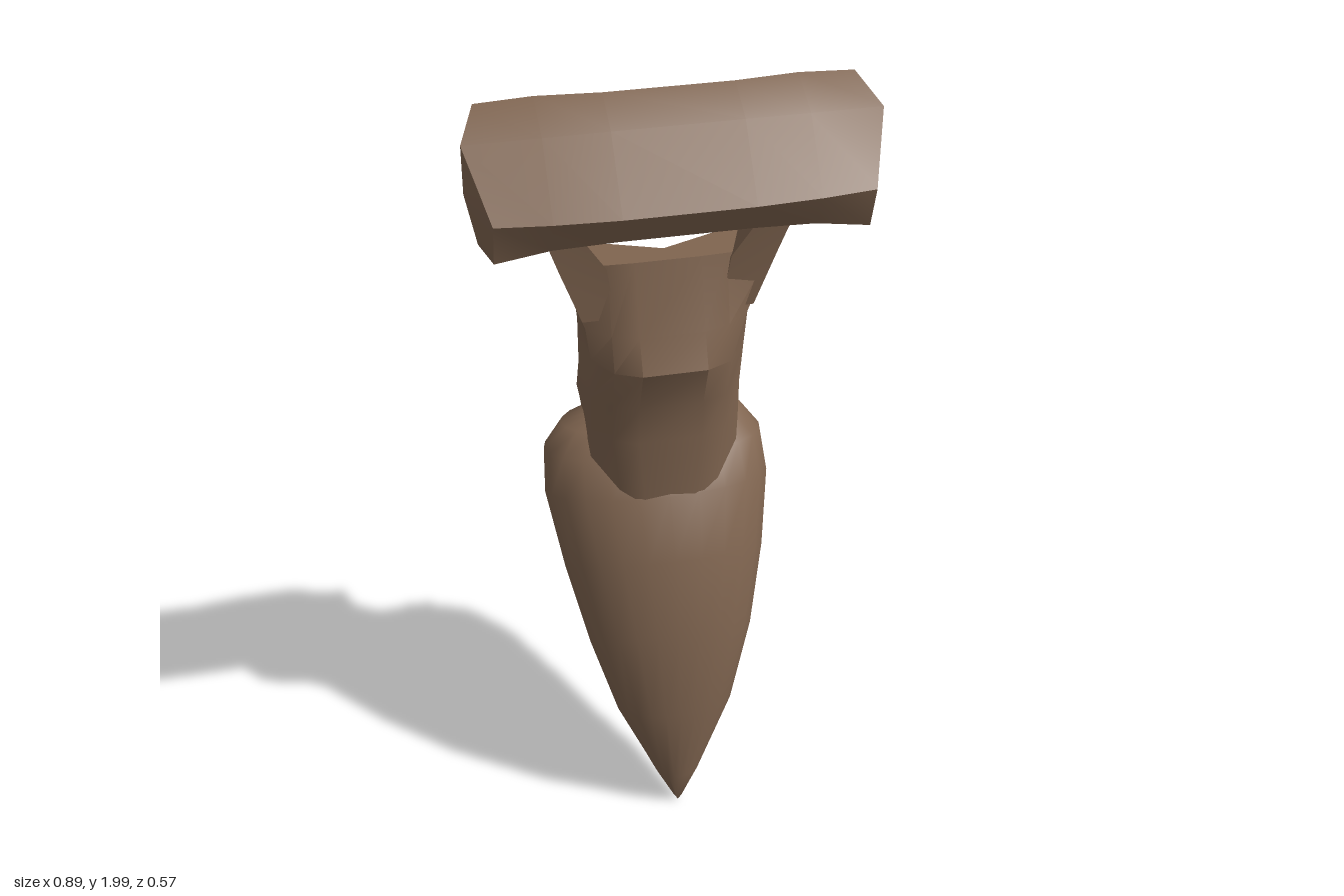
import * as THREE from 'three';
import { toCreasedNormals } from 'three/addons/utils/BufferGeometryUtils.js';

// Skin a list of closed rings of [x, y, z] points and close both ends with fans.
function loft(rings, crease, capA, capB) {
  const n = rings[0].length, pos = rings.flat(2), idx = [];
  rings.slice(1).forEach((_, r) => {
    for (let i = 0; i < n; i++) {
      const a = r * n + i, b = r * n + (i + 1) % n;
      idx.push(a, b, b + n, a, b + n, a + n);
    }
  });
  const fan = (start, centre, flip) => {
    const c = pos.length / 3;
    pos.push(...centre);
    for (let i = 0; i < n; i++) {
      const a = start + i, b = start + (i + 1) % n;
      idx.push(c, flip ? a : b, flip ? b : a);
    }
  };
  const mean = (ring) => [0, 1, 2].map((k) => ring.reduce((s, p) => s + p[k], 0) / n);
  fan(0, capA || mean(rings[0]), false);
  fan((rings.length - 1) * n, capB || mean(rings[rings.length - 1]), true);
  // Turn the faces outwards by the sign of the enclosed volume.
  const v = (i) => new THREE.Vector3(pos[i * 3], pos[i * 3 + 1], pos[i * 3 + 2]);
  let volume = 0;
  for (let i = 0; i < idx.length; i += 3) volume += v(idx[i]).dot(v(idx[i + 1]).cross(v(idx[i + 2])));
  if (volume < 0) idx.reverse();
  const g = new THREE.BufferGeometry();
  g.setAttribute('position', new THREE.Float32BufferAttribute(pos, 3));
  g.setIndex(idx);
  return toCreasedNormals(g, crease);
}

// Curved tapering blade: tilted ellipses from front edge, back edge and half width.
function bladeGeometry() {
  const rows = [ // front y, z, back y, z, half width
    [0.03, 0.213, 0.03, 0.19, 0.012], [0.12, 0.228, 0.13, 0.145, 0.058],
    [0.35, 0.237, 0.3, 0.07, 0.147], [0.6, 0.213, 0.45, 0, 0.206],
    [0.8, 0.165, 0.62, -0.12, 0.25], [0.95, 0.1, 0.81, -0.243, 0.28],
    [1.02, 0.04, 0.93, -0.285, 0.272], [1.055, -0.02, 1.02, -0.25, 0.225],
    [1.07, -0.07, 1.055, -0.21, 0.14],
  ];
  const rings = rows.map(([yf, zf, yb, zb, w]) => Array.from({ length: 24 }, (_, i) => {
    const a = (i / 24) * Math.PI * 2, t = (1 - Math.cos(a)) / 2;
    return [w * Math.sin(a), yf + (yb - yf) * t, zf + (zb - zf) * t];
  }));
  return loft(rings, 1.2, [0, 0.01, 0.205], [0, 1.075, -0.14]);
}

// Channel-shaped socket, open at the back, with feet flaring over the blade.
function socketGeometry() {
  const rows = [ // y, half width, front z, corner depth, back z
    [1.12, 0.178, 0.108, 0.08, -0.17], [1.22, 0.178, 0.112, 0.08, -0.125],
    [1.34, 0.178, 0.16, 0.1, -0.125], [1.42, 0.187, 0.122, 0.07, -0.112],
    [1.585, 0.242, 0.065, 0.01, -0.06],
  ];
  const halves = rows.map(([y, w, zf, d, zb]) => [
    [0.075, y, zf - d * 0.08], [0.135, y, zf - d * 0.35], [w, y, zf - d], [w, y, zb],
    [w - 0.045, y, zb], [w - 0.05, y, zf - d - 0.035], [0.075, y, zf - 0.05],
  ]);
  halves.unshift([
    [0.06, 0.93, 0.095], [0.12, 0.975, 0.08], [0.178, 1.04, 0.02], [0.16, 1.03, -0.25],
    [0.07, 1.035, -0.25], [0.13, 1.02, -0.03], [0.07, 0.96, 0.04],
  ]);
  const rings = halves.map((h) => [...h, ...h.slice().reverse().map(([x, y, z]) => [-x, y, z])]);
  return loft(rings, 0.75);
}

// Strut from the socket wall up to the crossbar.
function armGeometry(s) {
  const rows = [ // y, inner front x, inner back x, outer x, back z, front z
    [1.45, 0.12, 0.15, 0.196, -0.098, 0.07],
    [1.585, 0.14, 0.19, 0.244, -0.058, 0.078],
    [1.78, 0.262, 0.262, 0.308, 0, 0.105],
  ];
  return loft(rows.map(([y, xf, xb, xo, zb, zf]) => [
    [s * xf, y, zf], [s * xo, y, zf], [s * xo, y, zb], [s * xb, y, zb],
  ]), 0.5);
}

// Crossbar with a hollowed back and bevelled, downturned ends.
function crossbarGeometry() {
  const middle = [ // y, z
    [2, 0.07], [1.958, 0.165], [1.82, 0.286], [1.745, 0.24],
    [1.74, 0.1], [1.745, 0.015], [1.86, 0.062],
  ];
  const shoulder = [
    [1.997, 0.052], [1.955, 0.16], [1.82, 0.278], [1.738, 0.235],
    [1.735, 0.09], [1.742, 0], [1.86, 0.045],
  ];
  const end = [ // x, y, z
    [0.405, 1.988, 0.045], [0.443, 1.945, 0.14], [0.4, 1.82, 0.264], [0.4, 1.72, 0.235],
    [0.415, 1.675, 0.07], [0.395, 1.735, -0.033], [0.4, 1.86, 0.008],
  ];
  const at = (x, profile) => profile.map(([y, z]) => [x, y, z]);
  const flip = (ring) => ring.map(([x, y, z]) => [-x, y, z]);
  const right = [at(0.14, middle), at(0.28, shoulder), end];
  return loft([...right.slice().reverse().map(flip), ...right], 0.75,
    [-0.443, 1.83, 0.13], [0.443, 1.83, 0.13]);
}

export function createModel() {
  const model = new THREE.Group();
  model.name = 'fangPendant';
  const brown = new THREE.MeshStandardMaterial({ color: 0x806550 });
  brown.name = 'brown';
  const add = (name, geometry) => {
    const mesh = new THREE.Mesh(geometry, brown);
    mesh.name = name;
    model.add(mesh);
  };
  add('blade', bladeGeometry());
  add('socket', socketGeometry());
  add('leftArm', armGeometry(1));
  add('rightArm', armGeometry(-1));
  add('crossbar', crossbarGeometry());
  return model;
}
